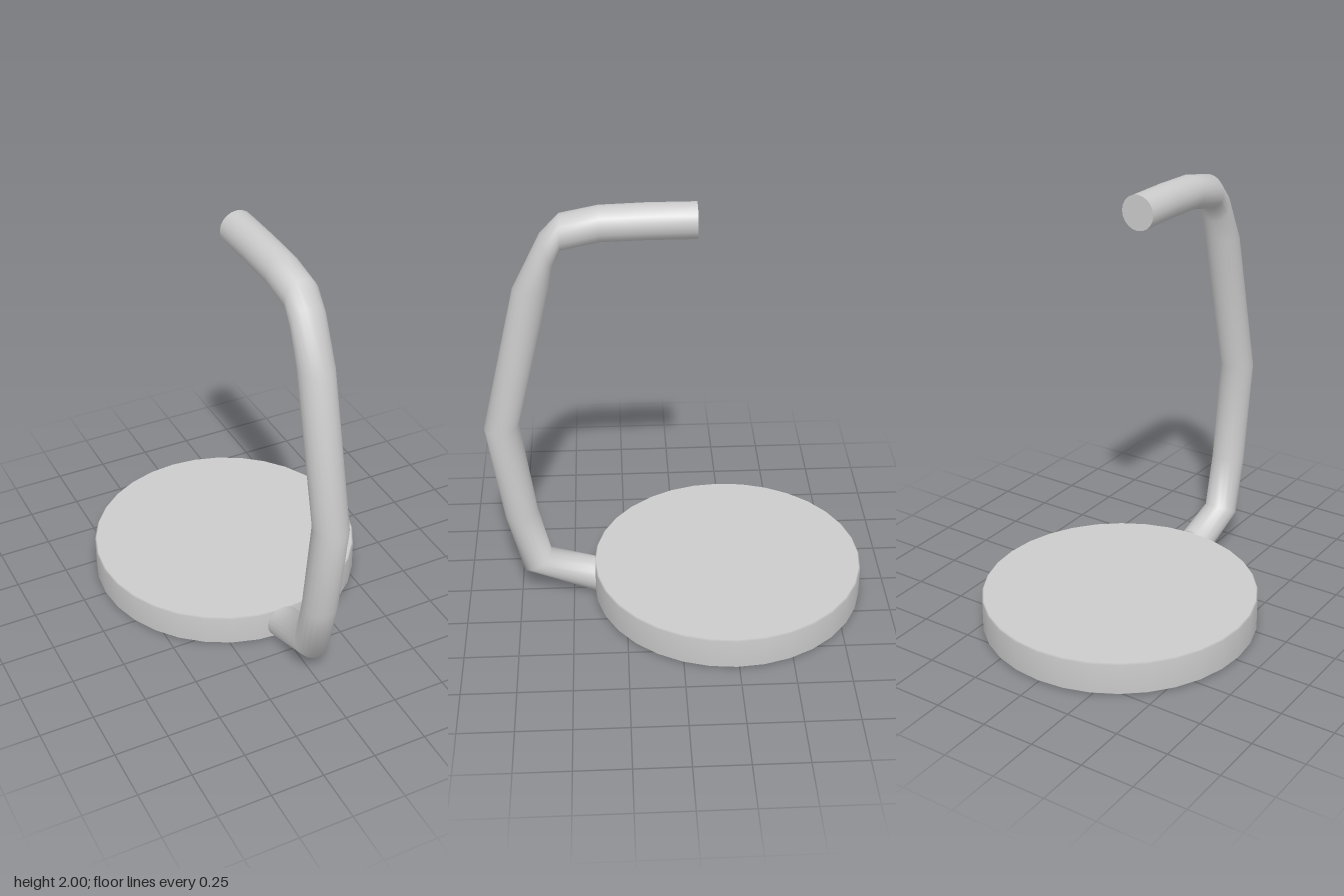
import * as THREE from 'three';

const SIDES = 20;
const RADIUS = 0.08;

// Tube lofted through rings; each ring is [outer z, outer y, inner z, inner y]
function loftArm(rings) {
  const pos = [];
  const index = [];
  rings.forEach(([oz, oy, iz, iy]) => {
    for (let i = 0; i < SIDES; i++) {
      const a = (i / SIDES) * Math.PI * 2;
      const t = (1 - Math.cos(a)) / 2;
      pos.push(RADIUS * Math.sin(a), oy + (iy - oy) * t, oz + (iz - oz) * t);
    }
  });
  for (let r = 0; r < rings.length - 1; r++) {
    for (let i = 0; i < SIDES; i++) {
      const a = r * SIDES + i;
      const b = r * SIDES + ((i + 1) % SIDES);
      index.push(a, b, a + SIDES, b, b + SIDES, a + SIDES);
    }
  }
  const geometry = new THREE.BufferGeometry();
  geometry.setAttribute('position', new THREE.Float32BufferAttribute(pos, 3));
  geometry.setIndex(index);
  geometry.computeVertexNormals();
  return geometry;
}

export function createModel() {
  const group = new THREE.Group();
  const material = new THREE.MeshStandardMaterial({ color: 0xcccccc, side: THREE.DoubleSide });
  const add = (name, geometry, x, y, z) => {
    const mesh = new THREE.Mesh(geometry, material);
    mesh.name = name;
    mesh.position.set(x, y, z);
    group.add(mesh);
    return mesh;
  };

  // Round base plate with a softly shaded rim
  const profile = [[0, 0.005], [0.632, 0.005], [0.64, 0.012], [0.64, 0.155], [0.632, 0.162], [0, 0.162]];
  add('basePlate', new THREE.LatheGeometry(profile.map(([r, y]) => new THREE.Vector2(r, y)), 32), 0, 0, -0.24);

  // Bent arm rising from the plate's front edge and reaching back over it
  const rings = [
    [0.395, 0, 0.395, 0.17],
    [0.735, 0.14, 0.6, 0.225],
    [0.81, 0.44, 0.655, 0.465],
    [0.88, 0.92, 0.72, 0.94],
    [0.715, 1.62, 0.55, 1.635],
    [0.586, 1.873, 0.533, 1.725],
    [0.5, 1.96, 0.5, 1.8],
    [0.335, 1.993, 0.33, 1.835],
    [0.13, 2, 0.13, 1.84],
    [-0.085, 2, -0.085, 1.84],
  ];
  add('arm', loftArm(rings), 0, 0, 0);

  // Flat end of the arm
  add('armEnd', new THREE.CircleGeometry(RADIUS, SIDES), 0, 1.92, -0.085).rotation.y = Math.PI;

  return group;
}
